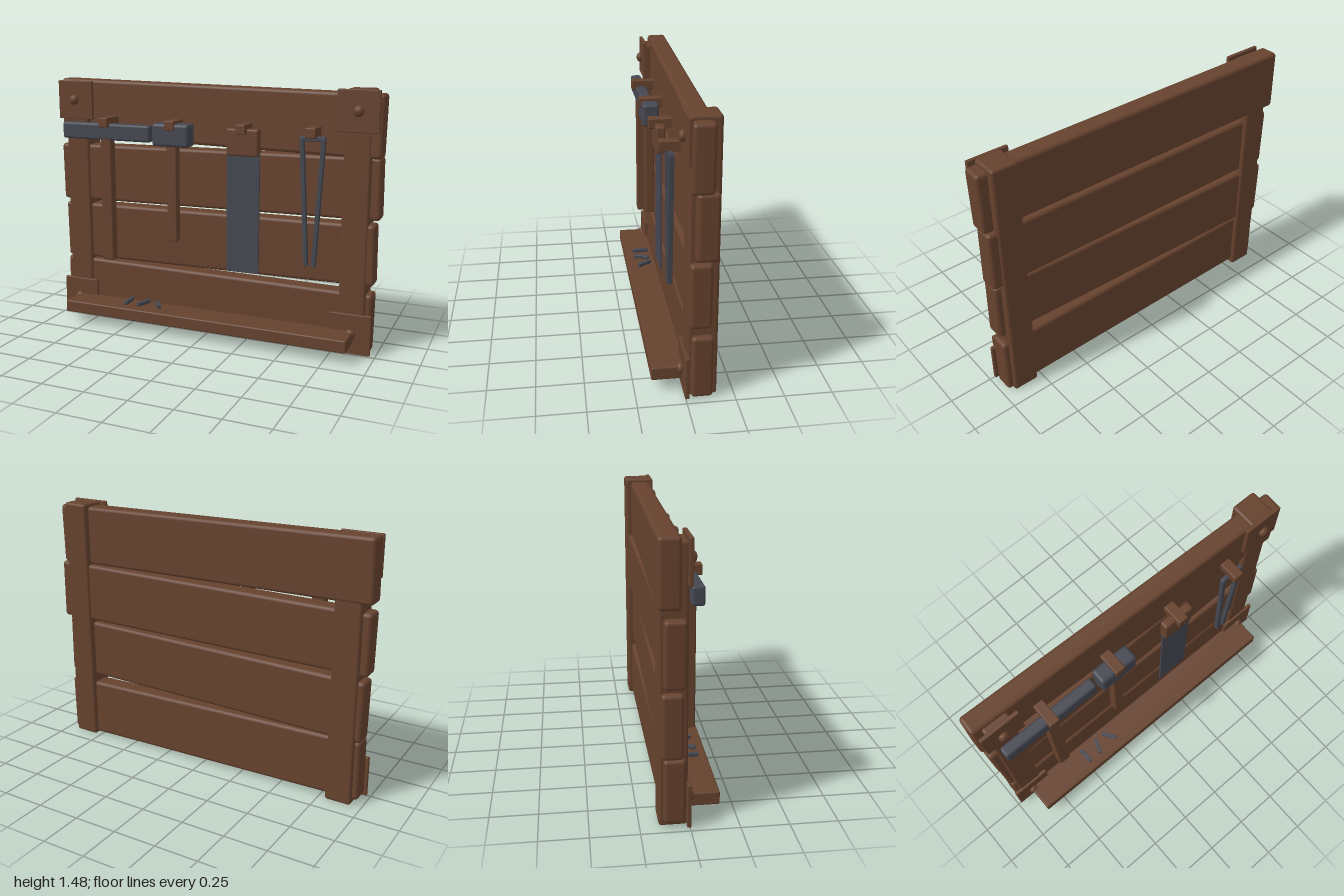
import * as THREE from 'three';
import { RoundedBoxGeometry } from 'three/addons/geometries/RoundedBoxGeometry.js';

export function createModel() {
  const model = new THREE.Group();
  model.name = 'toolRack';
  const wood = new THREE.MeshStandardMaterial({ color: 0x66422e });
  wood.name = 'brown wood';
  const iron = new THREE.MeshStandardMaterial({ color: 0x454751 });
  iron.name = 'dark iron';

  // Box given by its limits on each axis, with softened edges
  function block(name, mat, [x0, x1], [y0, y1], [z0, z1], r = 0.006, parent = model) {
    const geo = new RoundedBoxGeometry(x1 - x0, y1 - y0, z1 - z0, 2, r);
    const mesh = new THREE.Mesh(geo, mat);
    mesh.position.set((x0 + x1) / 2, (y0 + y1) / 2, (z0 + z1) / 2);
    mesh.name = name;
    parent.add(mesh);
    return mesh;
  }
  function group(name) {
    const g = new THREE.Group();
    g.name = name;
    model.add(g);
    return g;
  }

  // Four crooked planks: ends in x, centre height and depth at each end
  const planks = [
    [-0.995, 0.99, 1.313, 1.28, -0.106, -0.068],
    [-0.985, 0.985, 0.918, 0.942, -0.075, -0.096],
    [-0.975, 0.97, 0.55, 0.578, -0.088, -0.07],
    [-0.97, 0.965, 0.205, 0.182, -0.076, -0.083],
  ];
  planks.forEach(([x0, x1, yL, yR, zL, zR]) => {
    const p = block('plank', wood, [x0, x1], [0, 0.344], [0, 0.112], 0.02);
    p.position.y = (yL + yR) / 2;
    p.position.z = (zL + zR) / 2;
    p.rotation.z = Math.atan2(yR - yL, x1 - x0);
    p.rotation.y = -Math.atan2(zR - zL, x1 - x0);
  });

  // Upright posts, corner plates and rivets
  for (const s of [-1, 1]) {
    const px = s < 0 ? -0.865 : 0.857;
    block('post', wood, [px - 0.075, px + 0.075], [0.006, s < 0 ? 1.455 : 1.475],
      [s < 0 ? -0.155 : -0.163, -0.008], 0.016);
    for (const [y0, y1, ry] of [[0.012, 0.243, 0.13], [1.248, 1.475, 1.363]]) {
      block('cornerPlate', wood, [px - 0.115, px + 0.115], [y0, y1], [-0.016, 0.005], 0.004);
      const rivet = new THREE.Mesh(new THREE.SphereGeometry(0.03, 12, 8), wood);
      rivet.scale.z = 0.75;
      rivet.position.set(px + s * 0.004, ry, 0.014);
      rivet.name = 'rivet';
      model.add(rivet);
    }
  }

  // Shelf with loose nails
  block('shelf', wood, [-0.88, 0.875], [0.073, 0.145], [-0.015, 0.165], 0.008);
  for (const [x, z, turn] of [[-0.493, 0.067, 0.04], [-0.394, 0.067, -0.35], [-0.297, 0.062, 0.6]]) {
    const nail = block('nail', iron, [-0.011, 0.011], [0.15, 0.172], [-0.048, 0.048], 0.003);
    nail.position.x = x;
    nail.position.z = z;
    nail.rotation.y = turn;
  }

  // Hanging pegs
  for (const x of [-0.63, -0.2, 0.23, 0.625]) {
    block('peg', wood, [x - 0.03, x + 0.03], [1.216, 1.272], [-0.06, 0.097], 0.006);
  }

  // Long-headed hammer
  const pick = group('longHammer');
  block('longHammerHead', iron, [-0.92, -0.338], [1.137, 1.235], [0.006, 0.07], 0.014, pick);
  block('longHammerHandle', wood, [-0.666, -0.594], [0.405, 1.16], [0.012, 0.068], 0.008, pick);

  // Mallet
  const mallet = group('mallet');
  block('malletHead', iron, [-0.315, -0.085], [1.122, 1.254], [-0.008, 0.088], 0.018, mallet);
  block('malletHandle', wood, [-0.231, -0.169], [0.562, 1.15], [0.014, 0.066], 0.008, mallet);

  // Saw
  const saw = group('saw');
  block('sawBlade', iron, [0.135, 0.329], [0.422, 1.11], [0.034, 0.046], 0.002, saw);
  block('sawHandle', wood, [0.136, 0.326], [1.093, 1.245], [0.014, 0.066], 0.012, saw);

  // Tongs: two converging bars and a cross bar
  const tongs = group('tongs');
  for (const s of [-1, 1]) {
    const arm = block('tongsArm', iron, [-0.012, 0.012], [0.502, 1.215], [0.026, 0.054], 0.004, tongs);
    arm.position.x = 0.627 + s * 0.041;
    arm.rotation.z = -s * 0.055;
  }
  block('tongsBar', iron, [0.557, 0.695], [1.196, 1.223], [0.027, 0.053], 0.004, tongs);

  return model;
}
